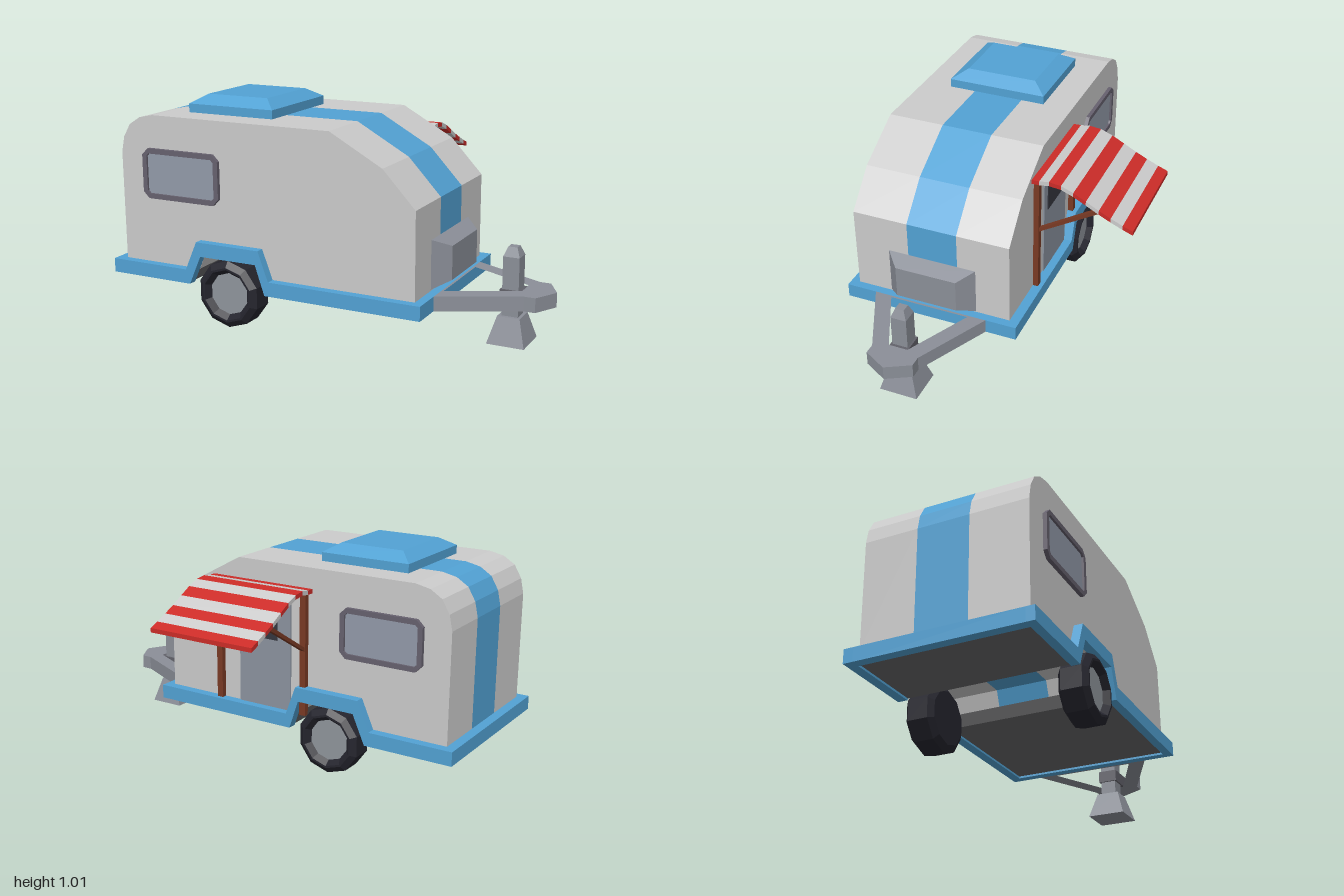
import * as THREE from 'three';

const mat = (color) => new THREE.MeshStandardMaterial({ color, flatShading: true });
const M = {
  shell: mat(0xcccccc), blue: mat(0x52a2d4), steel: mat(0x8b8f98), dark: mat(0x62626a),
  floor: mat(0x666668), frame: mat(0x66616e), glass: mat(0x929aa9), door: mat(0x8b939f),
  tyre: mat(0x25252e), hub: mat(0x8f959b), wood: mat(0x7a3a24), red: mat(0xcc2c28), pane: mat(0x35363f),
};
const MID = 0.21; // z of the trailer's centre line
const ZF = 0.59, ZB = -0.165; // front and back walls of the cabin

const toShape = (pts) => new THREE.Shape(pts.map(([x, y]) => new THREE.Vector2(x, y)));

// Outline in x, y pushed from z0 to z1
function slab(pts, z0, z1, hole) {
  const s = toShape(pts);
  if (hole) s.holes.push(toShape(hole));
  return new THREE.ExtrudeGeometry(s, { depth: z1 - z0, bevelEnabled: false }).translate(0, 0, z0);
}

// Box standing on y = 0 whose top is scaled by sx, sz
function taper(w, h, d, sx, sz) {
  const g = new THREE.BoxGeometry(w, h, d).translate(0, h / 2, 0);
  const p = g.attributes.position;
  for (let i = 0; i < p.count; i++) {
    if (p.getY(i) > h / 2) p.setXYZ(i, p.getX(i) * sx, h, p.getZ(i) * sz);
  }
  g.computeVertexNormals();
  return g;
}

const box = (x0, x1, y0, y1, z0, z1) =>
  new THREE.BoxGeometry(x1 - x0, y1 - y0, z1 - z0).translate((x0 + x1) / 2, (y0 + y1) / 2, (z0 + z1) / 2);

// Rectangle outline with cut corners
const cutRect = (x0, x1, y0, y1, c) => [
  [x0 + c, y0], [x1 - c, y0], [x1, y0 + c], [x1, y1 - c],
  [x1 - c, y1], [x0 + c, y1], [x0, y1 - c], [x0, y0 + c],
];

export function createModel() {
  const root = new THREE.Group();
  const add = (name, geo, material, parent = root) => {
    const m = new THREE.Mesh(geo, material);
    m.name = name;
    parent.add(m);
    return m;
  };

  // Cabin: one profile with a wheel tunnel, in three bands across the width
  const profile = [
    [-0.955, 0.245], [-0.55, 0.245], [-0.52, 0.315], [-0.235, 0.315], [-0.21, 0.245],
    [0.51, 0.245], [0.51, 0.635], [0.36, 0.795], [0.115, 0.93], [-0.78, 0.93],
    [-0.85, 0.915], [-0.905, 0.88], [-0.94, 0.82], [-0.955, 0.75],
  ];
  add('cabinBack', slab(profile, ZB, 0.085), M.shell);
  add('cabinStripe', slab(profile, 0.085, 0.325), M.blue);
  add('cabinFront', slab(profile, 0.325, ZF), M.shell);

  // Chassis: side rails with wheel arches, end bars and floor plates
  const rail = [
    [-1, 0.18], [-0.58, 0.18], [-0.52, 0.315], [-0.235, 0.315], [-0.19, 0.18], [0.55, 0.18],
    [0.55, 0.245], [-0.17, 0.245], [-0.22, 0.38], [-0.54, 0.38], [-0.6, 0.245], [-1, 0.245],
  ];
  add('frontRail', slab(rail, ZF, 0.63), M.blue);
  add('backRail', slab(rail, -0.21, ZB), M.blue);
  add('rearBar', box(-1, -0.955, 0.18, 0.245, ZB, ZF), M.blue);
  add('noseBar', box(0.51, 0.55, 0.18, 0.245, ZB, ZF), M.blue);
  add('rearFloor', slab([[-0.955, 0.19], [-0.576, 0.19], [-0.551, 0.245], [-0.955, 0.245]], ZB, ZF), M.floor);
  add('noseFloor', slab([[-0.193, 0.19], [0.51, 0.19], [0.51, 0.245], [-0.211, 0.245]], ZB, ZF), M.floor);

  // Wheels: ten-sided tyre with a recessed hub
  const tyreProfile = [[0, 0], [0.125, 0], [0.155, 0.02], [0.155, 0.115], [0.128, 0.135], [0.118, 0.135], [0.095, 0.105]]
    .map(([r, h]) => new THREE.Vector2(r, h));
  for (const [name, z, dir] of [['frontWheel', 0.5, 1], ['backWheel', -0.075, -1]]) {
    const wheel = new THREE.Group();
    wheel.name = name;
    add('tyre', new THREE.LatheGeometry(tyreProfile, 10), M.tyre, wheel);
    add('hub', new THREE.CylinderGeometry(0.097, 0.097, 0.02, 10).translate(0, 0.097, 0), M.hub, wheel);
    wheel.rotation.x = dir * Math.PI / 2;
    wheel.position.set(-0.385, 0.155, z);
    root.add(wheel);
  }

  // Windows on both long walls
  for (const [name, z, dir] of [['frontWindow', ZF, 1], ['backWindow', ZB, -1]]) {
    const at = (d) => [Math.min(z, z + dir * d), Math.max(z, z + dir * d)];
    const outer = cutRect(-0.83, -0.43, 0.55, 0.78, 0.03);
    const inner = cutRect(-0.807, -0.453, 0.573, 0.757, 0.012);
    add(name + 'Frame', slab(outer, ...at(0.018), inner), M.frame);
    add(name + 'Glass', slab(inner, ...at(0.008)), M.glass);
  }

  // Door in the back wall
  add('door', box(-0.17, 0.11, 0.245, 0.78, ZB - 0.006, ZB), M.door);
  add('doorWindow', box(-0.1, 0.07, 0.57, 0.73, ZB - 0.01, ZB), M.pane);

  // Roof hatch
  add('hatchBase', box(-0.675, -0.24, 0.93, 0.97, -0.025, 0.45), M.blue);
  add('hatchTop', taper(0.435, 0.04, 0.475, 0.71, 0.72).translate(-0.4575, 0.97, 0.2125), M.blue);

  // Storage box on the nose
  add('storageBox', taper(0.22, 0.07, 0.425, 0.69, 0.69).rotateZ(-Math.PI / 2).translate(0.51, 0.36, MID), M.steel);

  // Tow frame, drawn flat as x, -z and lifted into place
  const half = [[0.55, 0.275], [0.89, 0.11], [0.94, 0.11]];
  const flip = (pts) => pts.map(([x, y]) => [x, -y]).reverse();
  const hole = [[0.56, 0.19], [0.86, 0.045]];
  add('towFrame', slab([...half, [1, 0], ...flip(half)], 0, 0.065, [...hole, ...flip(hole)])
    .rotateX(-Math.PI / 2).translate(0, 0.18, MID), M.steel);
  add('towPlate', box(0.76, 0.9, 0.185, 0.24, MID - 0.045, MID + 0.045), M.dark);

  // Jack stand
  add('jackFoot', taper(0.17, 0.12, 0.18, 0.6, 0.6).translate(0.805, 0, MID), M.steel);
  add('jackPost', box(0.768, 0.842, 0.12, 0.385, MID - 0.037, MID + 0.037), M.steel);
  add('jackCap', taper(0.074, 0.042, 0.074, 0.55, 0.55).translate(0.805, 0.385, MID), M.steel);

  // Awning: striped panels along a drooping curve of z, y
  const curve = [
    [-0.165, 0.825], [-0.2, 0.826], [-0.245, 0.832], [-0.3, 0.826], [-0.357, 0.804],
    [-0.415, 0.774], [-0.475, 0.742], [-0.53, 0.716], [-0.585, 0.692], [-0.632, 0.674],
  ];
  const awning = new THREE.Group();
  awning.name = 'awning';
  root.add(awning);
  for (let i = 0; i < curve.length - 1; i++) {
    const [[za, ya], [zb, yb]] = [curve[i], curve[i + 1]];
    const t = 0.01;
    const outline = [[-za, ya - t], [-zb, yb - t], [-zb, yb + t], [-za, ya + t]];
    add('awningStripe', slab(outline, -0.28, 0.255).rotateY(Math.PI / 2), i % 2 ? M.shell : M.red, awning);
  }

  // Posts and slanted struts under the awning
  const strut = [[0.18, 0.545], [0.49, 0.73], [0.475, 0.742], [0.18, 0.562]];
  for (const x of [-0.245, 0.215]) {
    add('awningPost', box(x - 0.015, x + 0.015, 0.245, 0.82, ZB - 0.025, ZB), M.wood, awning);
    add('awningStrut', slab(strut, x - 0.012, x + 0.012).rotateY(Math.PI / 2), M.wood, awning);
  }
  return root;
}
